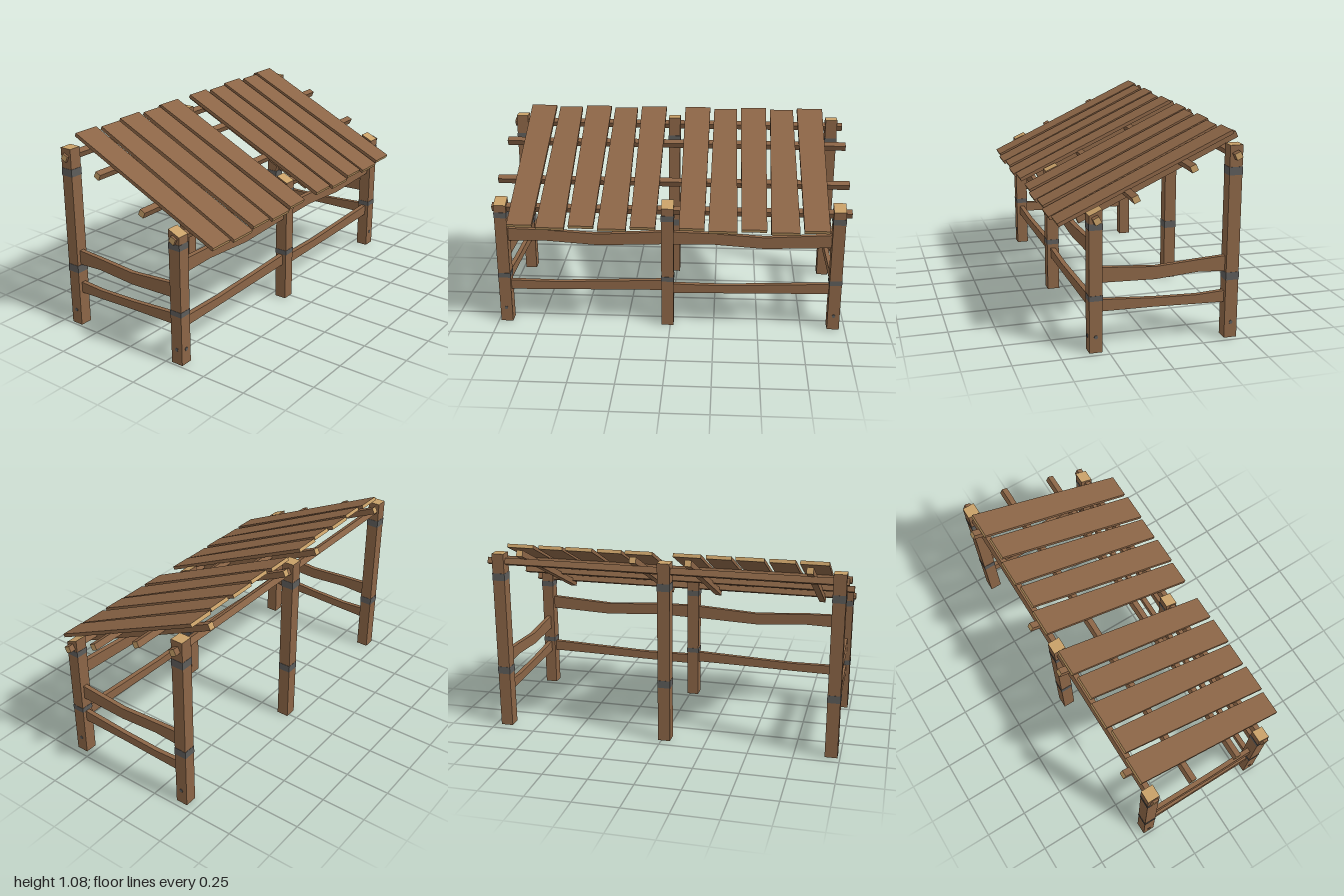
import * as THREE from 'three';

export function createModel() {
  const model = new THREE.Group();
  const material = (name, color, side = THREE.FrontSide) => {
    const m = new THREE.MeshStandardMaterial({ color, side });
    m.name = name;
    return m;
  };
  const wood = material('brownWood', 0x8b6546, THREE.DoubleSide);
  const endGrain = material('paleEndGrain', 0xc8a068);
  const iron = material('greyIron', 0x5d5c5a);

  const add = (name, geometry, mats, x = 0, y = 0, z = 0) => {
    const mesh = new THREE.Mesh(geometry, mats);
    mesh.name = name;
    mesh.position.set(x, y, z);
    model.add(mesh);
    return mesh;
  };
  const capX = [endGrain, endGrain, wood, wood, wood, wood];
  const capZ = [wood, wood, wood, wood, endGrain, endGrain];

  const slope = 0.435;
  const postXs = [-0.952, -0.016, 0.933];
  const frontZ = 0.315, backZ = -0.412, postSize = 0.069;

  // Posts with pale tops, open undersides and iron bands
  function post(name, x, z, height, rise, bands) {
    const g = new THREE.BoxGeometry(postSize, height, postSize);
    g.translate(0, height / 2, 0);
    const p = g.attributes.position;
    for (let i = 0; i < p.count; i++) {
      if (p.getY(i) > 0.1) p.setY(i, height - Math.sign(p.getZ(i)) * rise);
    }
    g.computeVertexNormals();
    g.groups = g.groups.filter((group) => group.materialIndex !== 3);
    add(name, g, [wood, wood, endGrain, wood, wood, wood], x, 0, z);
    for (const [low, high] of bands) {
      add('ironBand', new THREE.BoxGeometry(postSize + 0.003, high - low, postSize + 0.003),
        iron, x, (low + high) / 2, z);
    }
  }
  for (const x of postXs) {
    post('frontPost', x, frontZ, 0.735, 0.015, [[0.277, 0.305], [0.645, 0.678]]);
    post('backPost', x, backZ, 1.027, 0, [[0.318, 0.36], [0.873, 0.915]]);
  }

  // Bolts near the feet of the corner posts
  function bolt(x, z, axis) {
    const b = add('bolt', new THREE.CylinderGeometry(0.01, 0.01, 0.006, 8), iron, x, 0.085, z);
    b.rotation[axis] = Math.PI / 2;
  }
  for (const x of [postXs[0], postXs[2]]) {
    bolt(x, frontZ + postSize / 2, 'x');
    for (const z of [frontZ, backZ]) bolt(x + Math.sign(x) * postSize / 2, z, 'z');
  }

  // Wavy rails: each point is [distance, top, bottom]
  function rail(name, points, depth) {
    const outline = [
      ...points.map(([d, , bottom]) => new THREE.Vector2(d, bottom)),
      ...points.map(([d, top]) => new THREE.Vector2(d, top)).reverse(),
    ];
    const g = new THREE.ExtrudeGeometry(new THREE.Shape(outline), { depth, bevelEnabled: false });
    g.translate(0, 0, -depth / 2);
    return add(name, g, wood);
  }
  const frontUpper = [[0, 0.575, 0.5], [0.2, 0.571, 0.506], [0.51, 0.552, 0.485], [0.88, 0.575, 0.5]];
  const frontLower = [[0, 0.253, 0.197], [0.27, 0.25, 0.202], [0.6, 0.263, 0.209], [0.88, 0.275, 0.214]];
  for (const x of [-0.918, 0.018]) {
    rail('frontUpperRail', frontUpper, 0.028).position.set(x, 0, frontZ);
    rail('frontLowerRail', frontLower, 0.028).position.set(x, 0, frontZ);
  }
  const sideUpper = [[-0.281, 0.445, 0.365], [0, 0.422, 0.355], [0.23, 0.437, 0.372], [0.379, 0.445, 0.363]];
  const sideLower = [[-0.281, 0.275, 0.212], [0, 0.255, 0.207], [0.23, 0.247, 0.198], [0.379, 0.255, 0.193]];
  for (const x of [postXs[0], postXs[2]]) {
    for (const [name, points] of [['sideUpperRail', sideUpper], ['sideLowerRail', sideLower]]) {
      const r = rail(name, points, 0.026);
      r.position.x = x;
      r.rotation.y = Math.PI / 2;
    }
  }

  // Long beams running the full width
  for (const [y, z] of [[0.7, 0.315], [0.795, 0.12], [0.929, -0.177], [0.978, -0.412]]) {
    add('crossBeam', new THREE.BoxGeometry(2, 0.035, 0.035), capX, 0, y, z).rotation.x = slope;
  }

  // Sloping rafters
  for (const x of [-0.8, -0.16, 0.142, 0.785]) {
    add('rafter', new THREE.BoxGeometry(0.036, 0.035, 0.935), capZ, x, 0.85, -0.058).rotation.x = slope;
  }

  // Roof planks, tapering alternately and slightly uneven
  function plank(x, backWidth, frontWidth, length, y, z, tilt) {
    const g = new THREE.BoxGeometry(1, 0.02, length);
    const p = g.attributes.position;
    for (let i = 0; i < p.count; i++) {
      p.setX(i, p.getX(i) * (p.getZ(i) > 0 ? frontWidth : backWidth));
    }
    g.computeVertexNormals();
    add('roofPlank', g, capZ, x, y, z).rotation.x = slope + tilt;
  }
  for (const start of [-0.818, 0.124]) {
    for (let i = 0; i < 5; i++) {
      const x = start + i * 0.169;
      if (i % 2 === 0) plank(x, 0.152, 0.138, 1.003, 0.865, 0.025, -0.003);
      else plank(x, 0.137, 0.156, 0.998, 0.858, 0.037, 0.005);
    }
  }

  return model;
}
